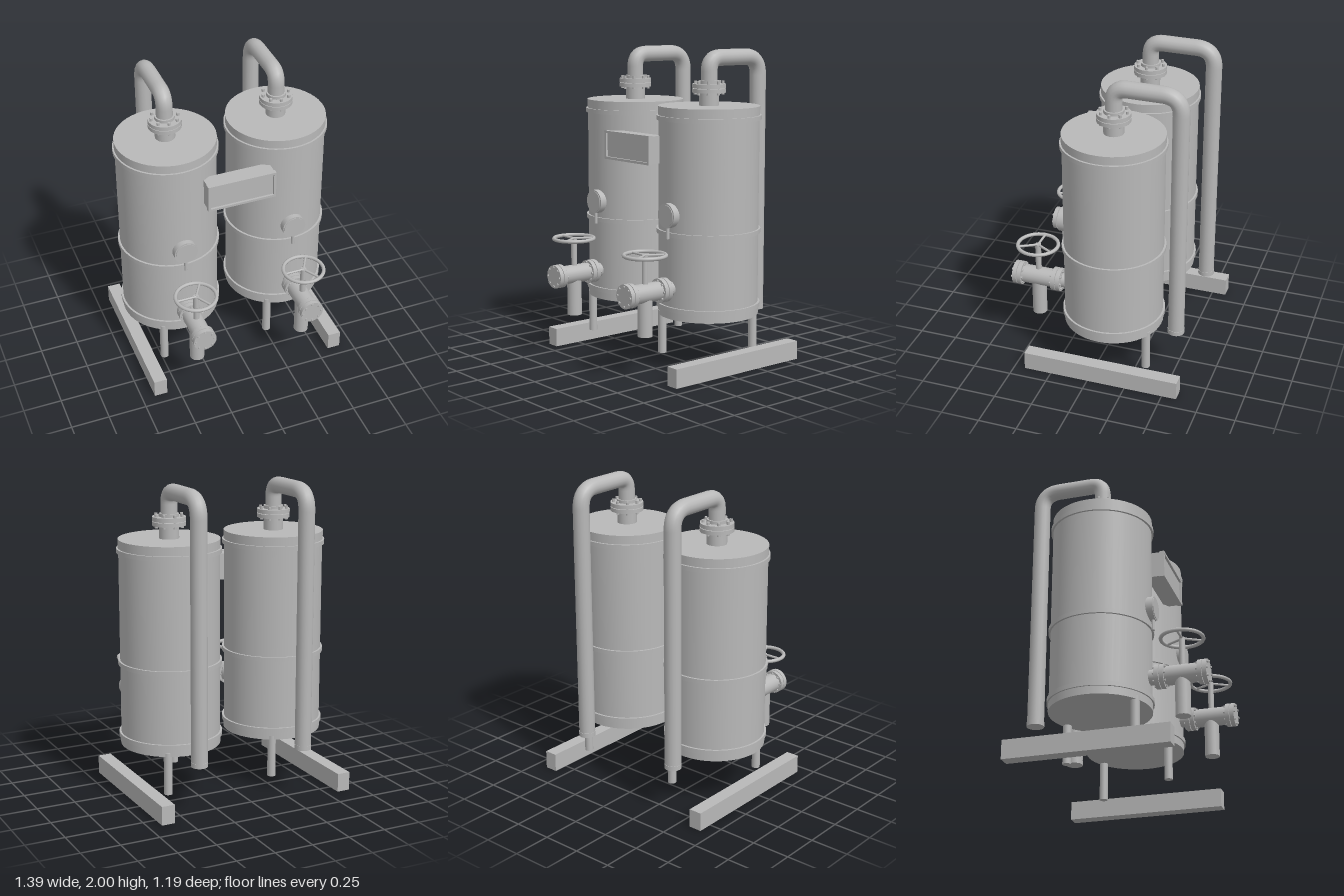
import * as THREE from 'three';

const steel = new THREE.MeshStandardMaterial({ color: 0xb8b8b8 });
steel.name = 'grey steel';

function add(parent, name, geometry, x = 0, y = 0, z = 0) {
  const mesh = new THREE.Mesh(geometry, steel);
  mesh.name = name;
  mesh.position.set(x, y, z);
  parent.add(mesh);
  return mesh;
}

// Upright cylinder between two heights
function post(parent, name, r, y0, y1, x = 0, z = 0, sides = 20) {
  return add(parent, name, new THREE.CylinderGeometry(r, r, y1 - y0, sides), x, (y0 + y1) / 2, z);
}

// Cylinder lying along z between two depths
function drum(parent, name, r, z0, z1, y, x = 0, sides = 24) {
  const geometry = new THREE.CylinderGeometry(r, r, z1 - z0, sides).rotateX(Math.PI / 2);
  return add(parent, name, geometry, x, y, (z0 + z1) / 2);
}

// Ring of eight bolts
function bolts(place, ring) {
  for (let i = 0; i < 8; i++) {
    const a = (i / 8) * Math.PI * 2;
    place(Math.cos(a) * ring, Math.sin(a) * ring);
  }
}

function buildTank() {
  const tank = new THREE.Group();
  post(tank, 'tankBody', 0.315, 0.34, 1.6, 0, 0, 48);
  post(tank, 'tankLid', 0.318, 1.6, 1.655, 0, 0, 48);
  post(tank, 'tankBase', 0.318, 0.34, 0.39, 0, 0, 48);
  for (const y of [0.39, 0.86, 1.57]) post(tank, 'tankBand', 0.328, y, y + 0.028, 0, 0, 48);
  for (const s of [1, -1]) post(tank, 'leg', 0.027, 0.09, 0.365, 0.14 * s, -0.26 * s, 16);
  return tank;
}

function buildOutlet() {
  const outlet = new THREE.Group();
  // Bolted flange on the lid
  post(outlet, 'outletNeck', 0.063, 1.65, 1.81);
  post(outlet, 'lowerFlange', 0.105, 1.735, 1.76, 0, 0, 32);
  post(outlet, 'upperFlange', 0.105, 1.764, 1.79, 0, 0, 32);
  bolts((x, z) => post(outlet, 'flangeBolt', 0.01, 1.722, 1.808, x, z, 6), 0.086);

  // Bent pipe over the back of the tank
  const p = (y, z) => new THREE.Vector3(0, y, z);
  const path = new THREE.CurvePath();
  path.add(new THREE.LineCurve3(p(1.79, 0), p(1.87, 0)));
  path.add(new THREE.QuadraticBezierCurve3(p(1.87, 0), p(1.948, 0), p(1.948, -0.08)));
  path.add(new THREE.LineCurve3(p(1.948, -0.08), p(1.948, -0.3)));
  path.add(new THREE.QuadraticBezierCurve3(p(1.948, -0.3), p(1.948, -0.417), p(1.83, -0.417)));
  path.add(new THREE.LineCurve3(p(1.83, -0.417), p(0.32, -0.417)));
  add(outlet, 'outletPipe', new THREE.TubeGeometry(path, 110, 0.052, 16));
  post(outlet, 'pipeEnd', 0.054, 0.3, 0.33, 0, -0.417);
  return outlet;
}

function buildValve() {
  const valve = new THREE.Group();
  const y = 0.535, z = 0.515;
  // Body and end flanges
  drum(valve, 'valveInlet', 0.048, 0.29, 0.36, y);
  drum(valve, 'valveBody', 0.06, 0.35, 0.67, y);
  for (const [a, b] of [[0.352, 0.38], [0.384, 0.412], [0.618, 0.645], [0.649, 0.676]])
    drum(valve, 'valveFlange', 0.076, a, b, y);
  bolts((dx, dy) => {
    drum(valve, 'valveBolt', 0.008, 0.342, 0.422, y + dy, dx, 6);
    drum(valve, 'valveBolt', 0.008, 0.608, 0.684, y + dy, dx, 6);
  }, 0.062);
  post(valve, 'drainPipe', 0.047, 0.265, y, 0, z);

  // Stem and handwheel
  post(valve, 'valveStem', 0.019, y, 0.775, 0, z, 16);
  const rim = new THREE.TorusGeometry(0.13, 0.012, 10, 36).rotateX(Math.PI / 2);
  add(valve, 'handwheelRim', rim, 0, 0.77, z);
  for (let i = 0; i < 3; i++) {
    const spoke = new THREE.CylinderGeometry(0.008, 0.008, 0.13, 8);
    spoke.rotateZ(Math.PI / 2).translate(-0.065, 0, 0).rotateY((i * Math.PI * 2) / 3);
    add(valve, 'handwheelSpoke', spoke, 0, 0.77, z);
  }
  return valve;
}

function buildGauge() {
  const gauge = new THREE.Group();
  drum(gauge, 'gaugeCase', 0.077, 0.3, 0.35, 0.995, 0, 32);
  drum(gauge, 'gaugeFace', 0.068, 0.345, 0.354, 0.995, 0, 32);
  post(gauge, 'gaugeStem', 0.011, 0.85, 0.95, 0, 0.335, 12);
  return gauge;
}

function buildSign() {
  const sign = new THREE.Group();
  add(sign, 'signBox', new THREE.BoxGeometry(0.44, 0.172, 0.105), 0, 0, 0.2175);
  // Raised rim around a recessed panel
  const shape = new THREE.Shape();
  shape.moveTo(-0.224, -0.091).lineTo(0.224, -0.091).lineTo(0.224, 0.091).lineTo(-0.224, 0.091).closePath();
  const hole = new THREE.Path();
  hole.moveTo(-0.208, -0.076).lineTo(-0.208, 0.076).lineTo(0.208, 0.076).lineTo(0.208, -0.076).closePath();
  shape.holes.push(hole);
  const rim = new THREE.ExtrudeGeometry(shape, { depth: 0.032, bevelEnabled: false });
  add(sign, 'signRim', rim, 0, 0, 0.253);
  sign.position.y = 1.385;
  return sign;
}

export function createModel() {
  const model = new THREE.Group();
  model.name = 'twinTankUnit';
  const builders = { tank: buildTank, outlet: buildOutlet, valve: buildValve, gauge: buildGauge };

  for (const side of [-1, 1]) {
    const unit = new THREE.Group();
    unit.name = side > 0 ? 'leftTankUnit' : 'rightTankUnit';
    unit.position.set(side * 0.367, 0, -0.085);
    for (const [name, build] of Object.entries(builders)) {
      const part = build();
      part.name = name;
      unit.add(part);
    }
    model.add(unit);
    // Floor rail
    add(model, 'floorRail', new THREE.BoxGeometry(0.086, 0.12, 1.025), side * 0.622, 0.06, -0.083);
  }

  const sign = buildSign();
  sign.name = 'sign';
  model.add(sign);
  return model;
}
